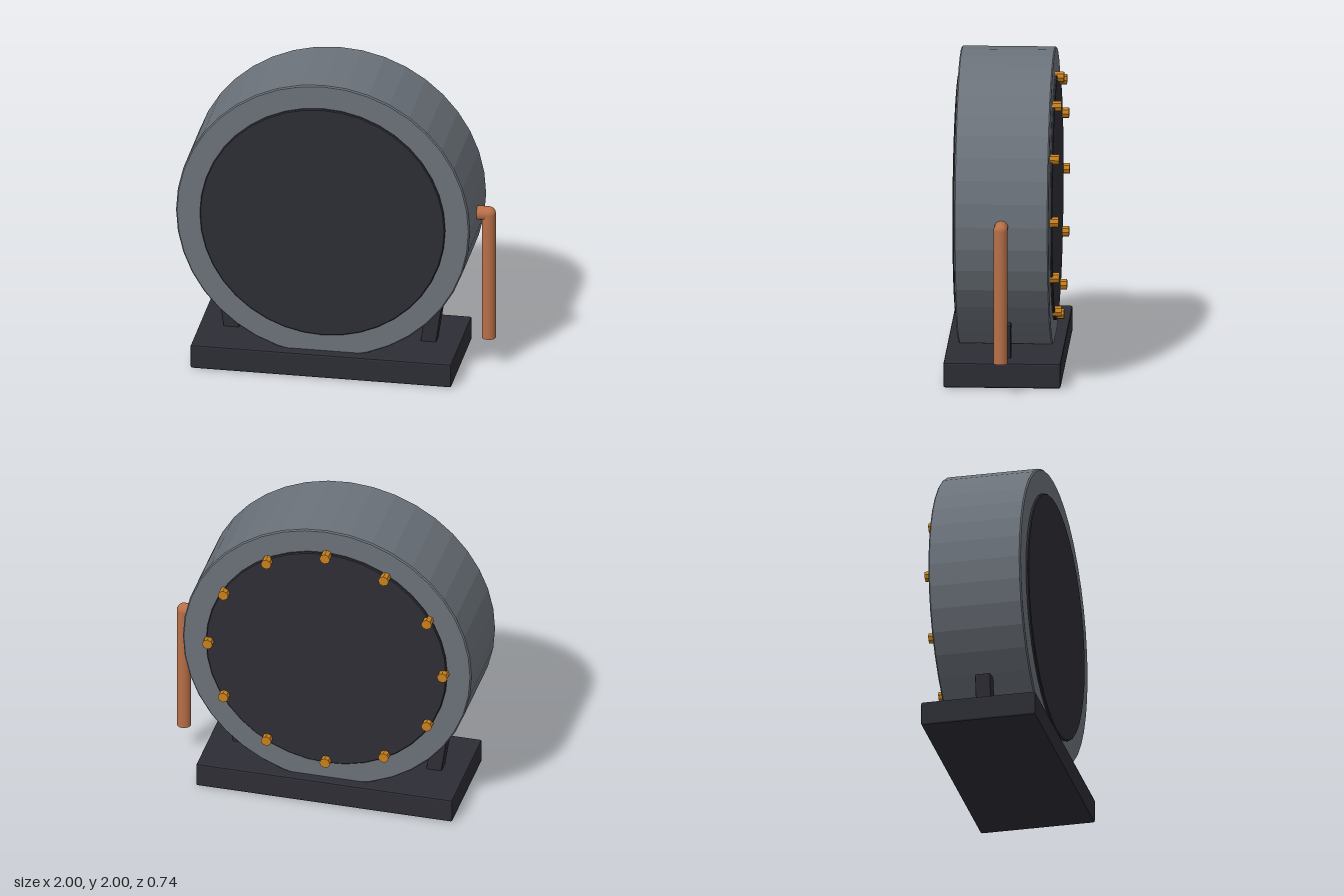
import * as THREE from 'three';
import { RoundedBoxGeometry } from 'three/addons/geometries/RoundedBoxGeometry.js';

const CX = -0.06, CY = 1.06; // drum axis

export function createModel() {
  const model = new THREE.Group();
  const mat = (name, color, flatShading = false) => {
    const m = new THREE.MeshStandardMaterial({ color, flatShading });
    m.name = name;
    return m;
  };
  const steel = mat('steel grey', 0x6b727a, true);
  const dark = mat('charcoal', 0x2d2d35, true);
  const copper = mat('copper', 0xb87048);
  const brass = mat('brass', 0xc8811e, true);

  const add = (name, geometry, material, x, y, z, parent = model) => {
    const mesh = new THREE.Mesh(geometry, material);
    mesh.name = name;
    mesh.position.set(x, y, z);
    parent.add(mesh);
    return mesh;
  };

  // Faceted disc along z with a small chamfer on both rims
  const disc = (r, half, bevel) => {
    const profile = [[0, -half], [r - bevel, -half], [r, -half + bevel],
      [r, half - bevel], [r - bevel, half], [0, half]];
    return new THREE.LatheGeometry(profile.map(p => new THREE.Vector2(...p)), 40)
      .rotateX(Math.PI / 2);
  };

  // Drum and its two cover plates
  add('drum', disc(0.94, 0.298, 0.008), steel, CX, CY, 0);
  for (const [name, s] of [['frontCover', 1], ['backCover', -1]]) {
    add(name, disc(0.785, 0.03, 0.006), dark, CX, CY - 0.003, s * 0.285);
  }

  // Ring of bolts on the back cover
  const bolts = new THREE.Group();
  bolts.name = 'backBolts';
  model.add(bolts);
  const boltGeo = new THREE.CylinderGeometry(0.034, 0.034, 0.06, 8).rotateX(Math.PI / 2);
  for (let i = 0; i < 12; i++) {
    const a = i * Math.PI / 6;
    add('bolt', boltGeo, brass, CX + Math.cos(a) * 0.765, CY + Math.sin(a) * 0.765, -0.325, bolts);
  }

  // Base slab and leaning cradle brackets
  add('base', new RoundedBoxGeometry(1.67, 0.16, 0.74, 1, 0.012), dark, CX, 0.08, 0);
  for (const s of [-1, 1]) {
    const bracket = add(s > 0 ? 'leftBracket' : 'rightBracket',
      new RoundedBoxGeometry(0.1, 0.3, 0.1, 1, 0.01), dark, CX + s * 0.642, 0.235, 0);
    bracket.rotation.z = -s * 0.15;
  }

  // Outlet pipe: stub, elbow and downpipe
  const R = 0.045;
  const stub = add('pipeStub', new THREE.CylinderGeometry(R, R, 0.1, 16), copper, 0.9, CY, 0);
  stub.rotation.z = Math.PI / 2;
  add('pipeElbow', new THREE.SphereGeometry(R, 16, 12), copper, 0.95, CY, 0);
  add('downpipe', new THREE.CylinderGeometry(R, R, 0.86, 16), copper, 0.95, 0.63, 0);

  return model;
}
